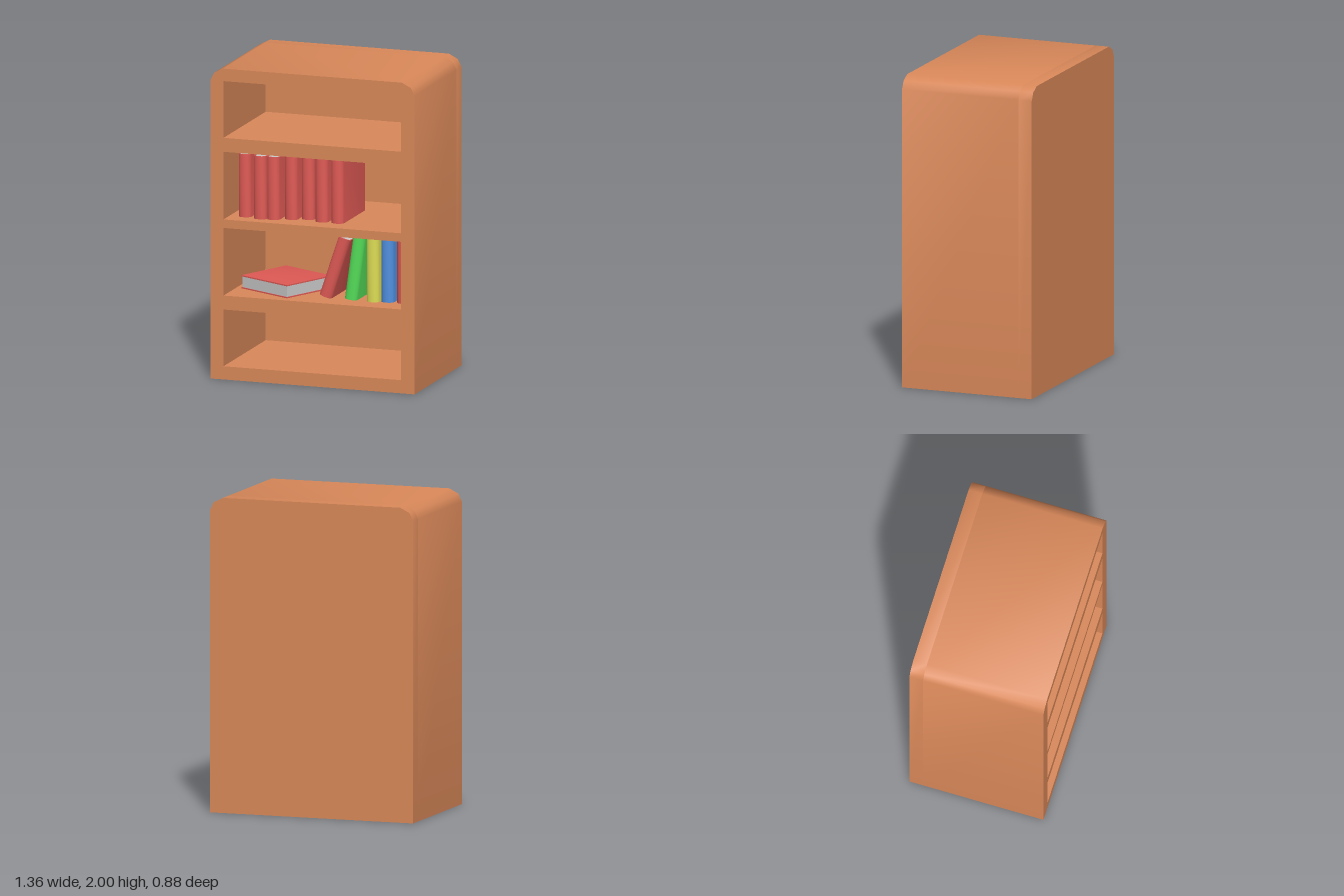
import * as THREE from 'three';
import { toCreasedNormals } from 'three/addons/utils/BufferGeometryUtils.js';

const WOOD = 0xd98859, RED = 0xe05a55, GREEN = 0x55e05a, YELLOW = 0xdddd55, BLUE = 0x5090e0;
const BOOK = { width: 0.085, height: 0.405, depth: 0.395, board: 0.008, bulge: 0.03 };

const paint = (color) => new THREE.MeshStandardMaterial({ color });

function mesh(name, geometry, material) {
  const m = new THREE.Mesh(geometry, material);
  m.name = name;
  return m;
}

function extrude(shape, depth) {
  const geometry = new THREE.ExtrudeGeometry(shape, { depth, bevelEnabled: false });
  return toCreasedNormals(geometry, 0.75);
}

// Cabinet outline with chamfered upper corners
function cabinetShape() {
  const half = [[0.68, 0], [0.68, 1.92], [0.655, 1.97], [0.595, 2]];
  const mirrored = half.map(([x, y]) => [-x, y]).reverse();
  return new THREE.Shape([...half, ...mirrored].map(([x, y]) => new THREE.Vector2(x, y)));
}

function createCabinet() {
  const cabinet = new THREE.Group();
  cabinet.name = 'cabinet';
  const wood = paint(WOOD);

  // Frame and shelves: one thick slab with four compartments cut through
  const frame = cabinetShape();
  for (const [y0, y1] of [[0.085, 0.45], [0.54, 0.975], [1.03, 1.465], [1.555, 1.92]]) {
    const corners = [[-0.593, y0], [-0.593, y1], [0.59, y1], [0.59, y0]];
    frame.holes.push(new THREE.Path(corners.map(([x, y]) => new THREE.Vector2(x, y))));
  }
  const shelves = mesh('frameAndShelves', extrude(frame, 0.79), wood);
  shelves.position.z = -0.35;

  // Closed back
  const back = mesh('backPanel', extrude(cabinetShape(), 0.09), wood);
  back.position.z = -0.44;
  cabinet.add(shelves, back);
  return cabinet;
}

// Cover seen from above: two boards joined by a rounded spine towards +z
function coverGeometry() {
  const { width, height, depth, board, bulge } = BOOK;
  const r = width / 2, d = depth / 2, inner = r - board, steps = 6;
  const points = [[-inner, -d], [-r, -d]];
  const arc = (radius, rise) => Array.from({ length: steps + 1 }, (_, i) => {
    const a = Math.PI * (1 - i / steps);
    return [radius * Math.cos(a), d + rise * Math.sin(a)];
  });
  points.push(...arc(r, bulge), [r, -d], [inner, -d], ...arc(inner, bulge - board).reverse());
  const shape = new THREE.Shape(points.map(([x, z]) => new THREE.Vector2(x, z)));
  return extrude(shape, height).rotateX(Math.PI / 2).translate(0, height / 2, 0);
}

function createModel() {
  const model = new THREE.Group();
  model.name = 'bookcase';
  model.add(createCabinet());

  const { width, height, depth, board } = BOOK;
  const cover = coverGeometry();
  const pages = new THREE.BoxGeometry(width - 2 * board, height - 0.008, depth);
  pages.translate(0, 0, 0.004);
  const paper = paint(0xcccccc);

  // A book centred at x, y with its spine shoulder at z
  function addBook(name, color, x, y, shoulder, lean = 0) {
    const book = new THREE.Group();
    book.name = name;
    book.add(mesh('cover', cover, paint(color)), mesh('pages', pages, paper));
    book.position.set(x, y, shoulder - depth / 2);
    book.rotation.z = -lean;
    model.add(book);
    return book;
  }

  // Upper row of matching books, unevenly pushed in
  const row = [[-0.495, 0.31], [-0.385, 0.335], [-0.30, 0.325], [-0.195, 0.285],
    [-0.095, 0.25], [0.01, 0.29], [0.115, 0.29]];
  row.forEach(([x, z], i) => addBook(`upperBook${i + 1}`, RED, x, 1.03 + height / 2, z));

  // Lower row: upright and leaning books
  const stand = 0.54 + height / 2;
  addBook('uprightRedBook', RED, 0.543, stand, 0.26);
  addBook('uprightBlueBook', BLUE, 0.438, stand, 0.26);
  addBook('uprightYellowBook', YELLOW, 0.347, stand, 0.28);
  addBook('leaningGreenBook', GREEN, 0.23, 0.745, 0.28, 0.14);
  addBook('leaningRedBook', RED, 0.097, 0.743, 0.28, 0.32);

  // Book lying flat, turned on its shelf
  const lying = addBook('lyingBook', RED, 0, 0, 0);
  const up = new THREE.Vector3(0, 1, 0);
  const spine = new THREE.Vector3(0.433, 0, -0.902).normalize();
  const along = new THREE.Vector3().crossVectors(spine, up);
  lying.quaternion.setFromRotationMatrix(new THREE.Matrix4().makeBasis(up, along, spine));
  lying.position.set(-0.288, 0.54 + width / 2, 0.117);

  return model;
}

export { createModel };
